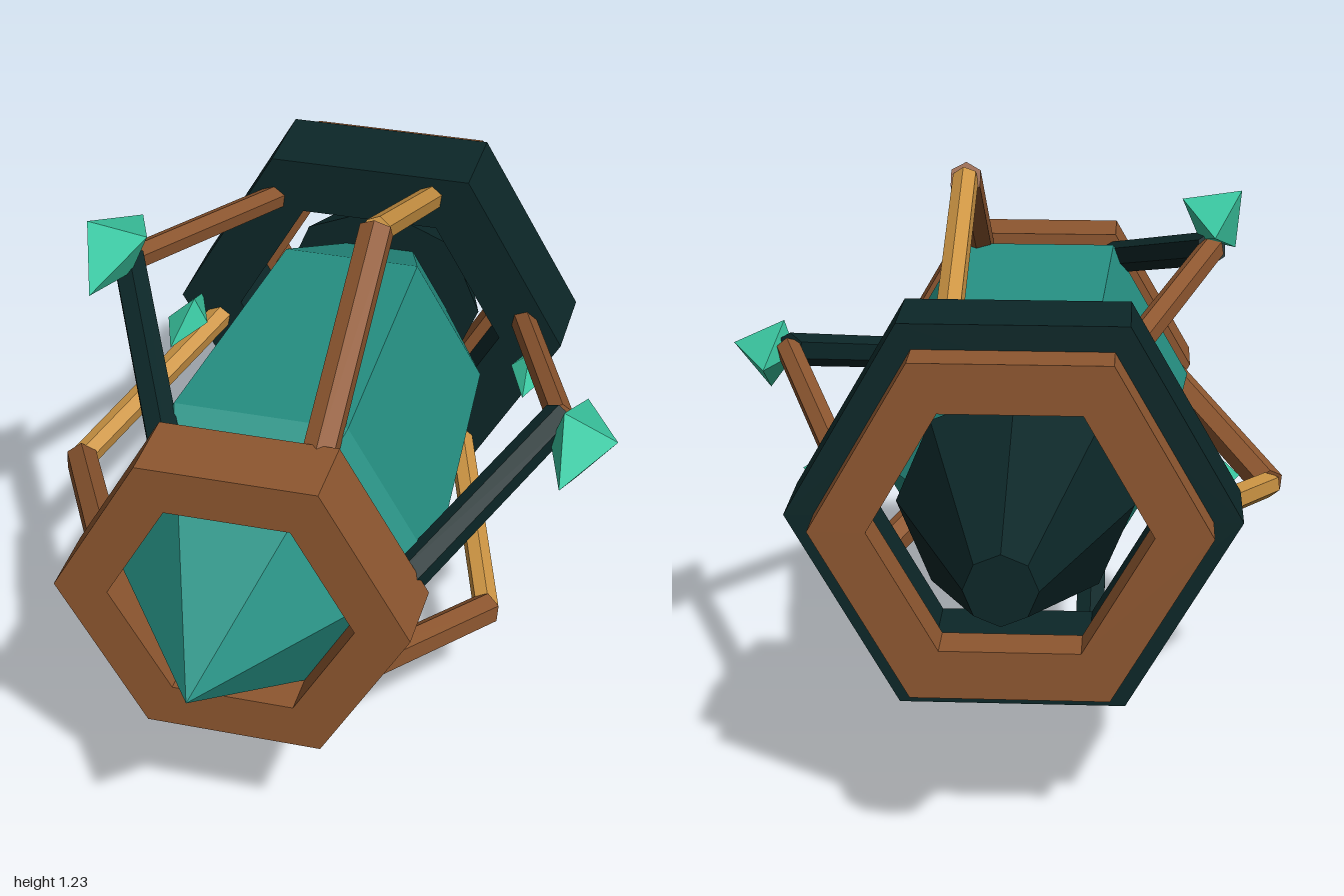
import * as THREE from 'three';

const colour = (name, hex) => {
  const m = new THREE.MeshStandardMaterial({ color: hex });
  m.name = name;
  return m;
};

export function createModel() {
  const crystal = colour('teal crystal', 0x269083);
  const shard = colour('bright shard', 0x3ac6a0);
  const copper = colour('copper', 0x8e5730);
  const gold = colour('gold', 0xcd9544);
  const dark = colour('dark metal', 0x0c2728);

  const model = new THREE.Group();
  model.name = 'crystalCage';
  // Everything is arranged around one axis running along z
  const core = new THREE.Group();
  core.name = 'core';
  core.position.set(-0.05, 0.66, 0);
  model.add(core);

  // Adds a faceted mesh
  function add(parent, name, geometry, material) {
    const g = geometry.index ? geometry.toNonIndexed() : geometry;
    g.computeVertexNormals();
    const mesh = new THREE.Mesh(g, material);
    mesh.name = name;
    parent.add(mesh);
    return mesh;
  }

  // Hexagonal ring with a hexagonal hole
  function ring(name, outer, inner, z0, z1, material) {
    const hexagon = r => Array.from({ length: 6 }, (_, i) =>
      new THREE.Vector2(r * Math.cos(i * Math.PI / 3), r * Math.sin(i * Math.PI / 3)));
    const shape = new THREE.Shape(hexagon(outer));
    shape.holes.push(new THREE.Path(hexagon(inner)));
    const g = new THREE.ExtrudeGeometry(shape, { depth: z1 - z0, bevelEnabled: false });
    g.translate(0, 0, z0);
    add(core, name, g, material);
  }

  // Faceted solid turned around z; profile is [radius, z] from back to front
  function turned(name, profile, sides, phase, material) {
    const g = new THREE.LatheGeometry(profile.map(p => new THREE.Vector2(...p)), sides, phase);
    g.rotateX(Math.PI / 2);
    add(core, name, g, material);
  }

  // Six-sided bar between two points
  function bar(parent, name, a, b, radius, material) {
    const from = new THREE.Vector3(...a), to = new THREE.Vector3(...b);
    const dir = to.clone().sub(from);
    const mesh = add(parent, name, new THREE.CylinderGeometry(radius, radius, dir.length(), 6), material);
    mesh.position.copy(from).add(to).multiplyScalar(0.5);
    mesh.quaternion.setFromUnitVectors(new THREE.Vector3(0, 1, 0), dir.normalize());
  }

  // Double-ended shard: four-cornered waist with a tip at each end
  function spike(parent, name, waist, half, position) {
    const pos = [];
    waist.forEach((p, i) => {
      const q = waist[(i + 1) % waist.length];
      pos.push(...p, 0, ...q, 0, 0, 0, half);
      pos.push(...q, 0, ...p, 0, 0, 0, -half);
    });
    const g = new THREE.BufferGeometry();
    g.setAttribute('position', new THREE.Float32BufferAttribute(pos, 3));
    add(parent, name, g, shard).position.set(...position);
  }

  // Main crystal and the tail cone behind it
  turned('mainCrystal', [[0, -0.52], [0.16, -0.5], [0.3, -0.24], [0.358, 0.48], [0, 1]], 6, Math.PI / 6, crystal);
  turned('tailCone', [[0, -1], [0.07, -1], [0.24, -0.5], [0, -0.5]], 8, 0, dark);

  // Rings
  ring('frontRing', 0.366, 0.254, 0.56, 0.72, copper);
  ring('middleRing', 0.454, 0.31, -0.6, -0.4, dark);
  ring('backRing', 0.395, 0.28, -0.7, -0.6, copper);

  // Six bent struts; every other one carries a large shard at its elbow
  const bigWaist = [[0.088, -0.03], [0.015, 0.074], [-0.045, 0.02], [-0.034, -0.078]];
  for (let i = 0; i < 6; i++) {
    const strut = new THREE.Group();
    strut.name = 'strut' + (i + 1);
    strut.rotation.z = Math.PI / 2 - i * Math.PI / 3;
    core.add(strut);
    const plain = i % 2 === 0;
    const side = -0.14;
    bar(strut, 'strutFront', [0.265, side, 0.59], [0.54, side, 0.1], 0.037, plain ? copper : dark);
    bar(strut, 'strutBack', [0.54, side, 0.1], [0.335, side, -0.42], 0.029, plain ? gold : copper);
    if (!plain) spike(strut, 'elbowShard', bigWaist, 0.172, [0.566, -0.178, 0.16]);
  }

  // Small shards on either side, in front of the middle ring
  const smallWaist = [[0.045, 0], [-0.01, 0.035], [-0.05, 0], [-0.02, -0.06]];
  for (const [name, angle] of [['leftShard', 0], ['rightShard', Math.PI]]) {
    const holder = new THREE.Group();
    holder.name = name;
    holder.rotation.z = angle;
    core.add(holder);
    spike(holder, 'sideShard', smallWaist, 0.125, [0.41, 0, -0.295]);
  }

  return model;
}
